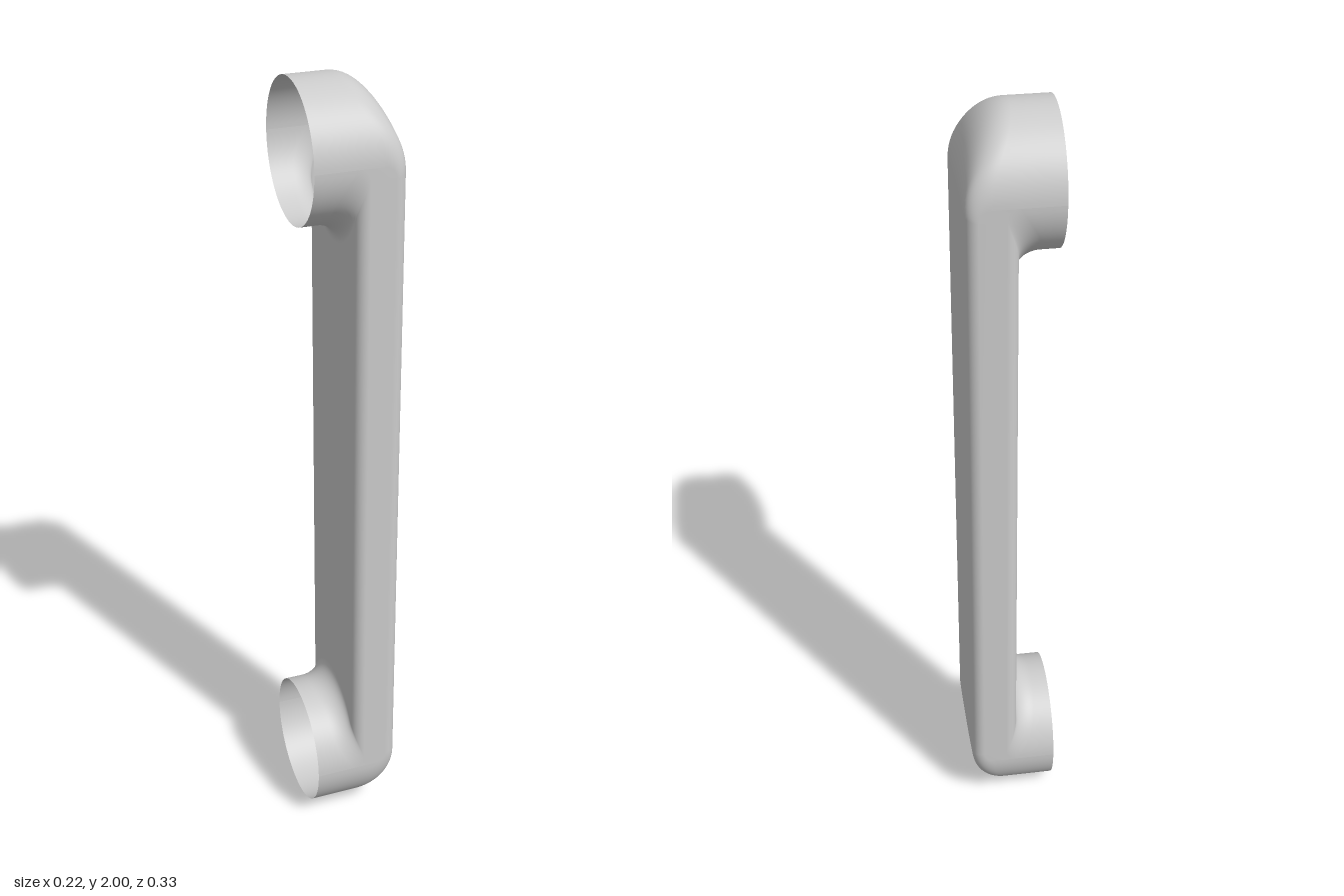
import * as THREE from 'three';

const R = 0.167;       // leg radius and half width of the grip
const BACK = -0.11;    // plane of the open mounting ends
const MID = 0.05;      // centre of the grip in x
const HALF = 0.06;     // half thickness of the grip
const EDGE = 0.03;     // rounding of the grip's long edges
const N = 48;          // points along each half of a ring
const BEND = 16;       // steps around each bend

// half thickness of the rounded grip section at offset z
function thickness(z) {
  const d = Math.max(0, Math.abs(z) - (R - EDGE));
  return HALF - EDGE + Math.sqrt(Math.max(0, EDGE * EDGE - d * d));
}

// one lengthwise line of the top half: out along the leg, round the bend, to the grip
function bendLine(phi, side) {
  const s = Math.abs(Math.sin(phi));
  const z = R * Math.cos(phi);
  const y = 2 - R + side * R * s;
  const x = MID + side * thickness(z);
  const rx = EDGE + (side > 0 ? 0.09 : 0.03) * s;
  const ry = EDGE + (side > 0 ? 0.15 : 0.02) * s;
  const line = [];
  for (let k = 0; k < 3; k++) line.push([BACK + (x - rx - BACK) * k / 3, y, z]);
  for (let k = 0; k <= BEND; k++) {
    const a = k / BEND * Math.PI / 2;
    line.push([x - rx + rx * Math.sin(a), y - ry + ry * Math.cos(a), z]);
  }
  return line;
}

function handleGeometry() {
  // outer half of the ring, then the inner half
  const lines = [];
  for (const side of [1, -1]) {
    for (let j = 0; j <= N; j++) {
      const phi = Math.PI * (side > 0 ? j / N : 1 - j / N);
      const top = bendLine(phi, side);
      const bottom = top.map(([x, y, z]) => [x, 2 - y, z]).reverse();
      lines.push([...top, ...bottom]);
    }
  }
  const rings = lines[0].length;
  const count = lines.length;
  const positions = [];
  const index = [];
  for (let i = 0; i < rings; i++) {
    for (let j = 0; j < count; j++) {
      positions.push(...lines[j][i]);
      if (i === rings - 1) continue;
      const a = i * count + j;
      const b = i * count + (j + 1) % count;
      index.push(a, a + count, b, b, a + count, b + count);
    }
  }
  const geometry = new THREE.BufferGeometry();
  geometry.setAttribute('position', new THREE.Float32BufferAttribute(positions, 3));
  geometry.setIndex(index);
  geometry.computeVertexNormals();
  return geometry;
}

export function createModel() {
  const group = new THREE.Group();
  group.name = 'pullHandle';
  // hollow shell, open at both mounting ends
  const material = new THREE.MeshStandardMaterial({ color: 0xcccccc, side: THREE.DoubleSide });
  const shell = new THREE.Mesh(handleGeometry(), material);
  shell.name = 'handleShell';
  group.add(shell);
  return group;
}
